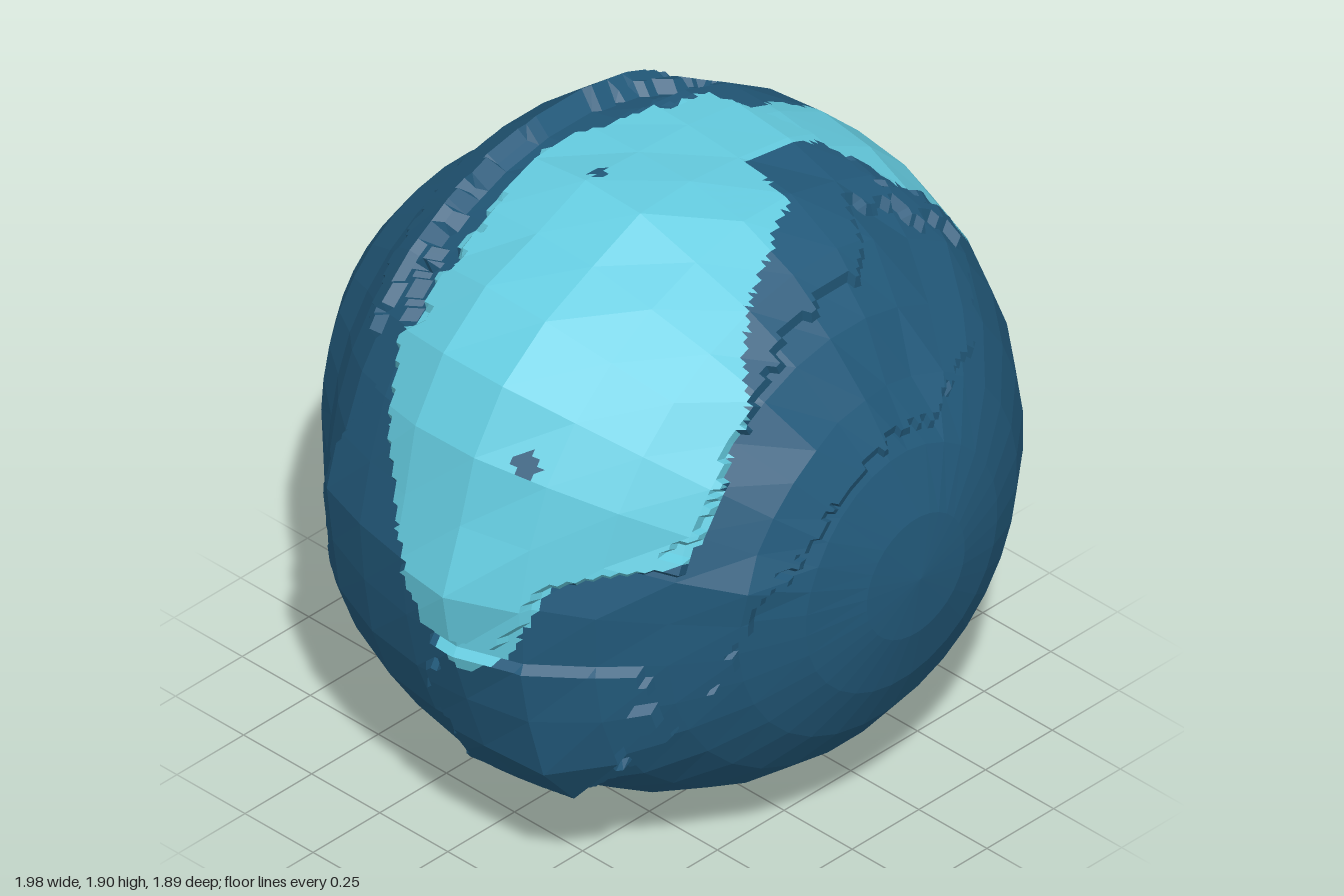
import * as THREE from 'three';

const R = 0.945, CX = 0.058, CY = 0.937; // ball radius and centre
const COLS = 32, ROWS = 16, FINE = 9;    // large facets, and cells inside each facet
const RAD = Math.PI / 180;

const hash = (a, b = 0) => {
  const s = Math.sin(a * 127.1 + b * 311.7) * 43758.5453;
  return s - Math.floor(s);
};

// Regions around the z axis: [angle, back edge z, front edge z]
const CYAN_BAND = [
  [-94, 0.15, 0.3], [-92, 0.05, 0.4], [-87, -0.04, 0.5], [-71, -0.15, 0.6], [-66, -0.19, 0.56], [-62, -0.21, 0.42],
  [-52, -0.23, 0.37], [-42, -0.21, 0.36], [-31, -0.14, 0.36], [-29, -0.02, 0.36], [-25, 0.03, 0.36],
  [-15, 0.04, 0.36], [-8, 0.02, 0.36], [-4, -0.02, 0.37], [0, -0.12, 0.38], [5, -0.1, 0.39],
  [17, -0.07, 0.39], [28, -0.07, 0.37], [33, -0.02, 0.37], [50, -0.02, 0.38], [58, -0.06, 0.37],
  [63, -0.04, 0.22], [75, -0.08, 0.2], [84, -0.13, 0.21], [86, -0.15, 0.38], [93, -0.19, 0.43],
  [100, -0.21, 0.48], [108, -0.2, 0.53], [123, -0.2, 0.66], [143, -0.19, 0.7], [157, -0.12, 0.69],
  [163, -0.05, 0.6], [170, 0.0, 0.42], [185, 0.1, 0.33], [189, 0.2, 0.22]];
const CYAN_HOOK = [[-15, -0.2, -0.17], [-10, -0.2, -0.13], [-4, -0.16, -0.03], [0, -0.13, 0.0]];
const LOWER_PLATE = [
  [42, 0.5, 0.52], [46, 0.45, 0.73], [64, 0.38, 0.84], [70, -0.1, 0.845], [85, -0.17, 0.85], [106, -0.2, 0.855],
  [137, -0.14, 0.865], [161, -0.34, 0.83], [180, -0.46, 0.79], [194, -0.46, 0.76], [207, -0.42, 0.65],
  [218, -0.37, 0.46], [228, -0.35, 0.1]];
const UPPER_PLATE = [
  [46, 0.4, 0.5], [57, 0.36, 0.49], [66, 0.2, 0.42], [74, -0.08, 0.42], [79, -0.1, 0.58], [103, -0.2, 0.61],
  [122, -0.2, 0.66], [142, -0.19, 0.69], [161, -0.08, 0.65], [171, 0.0, 0.4], [184, 0.1, 0.3]];
const SIDE_PLATE = [
  [186, 0.1, 0.6], [200, 0.06, 0.62], [212, 0.05, 0.5], [227, 0.05, 0.25]];
const BACK_LEDGE = [[58, -0.5, -0.42], [75, -0.53, -0.36], [110, -0.54, -0.38], [135, -0.48, -0.36], [145, -0.4, -0.36]];
const TOP_GROOVE = [[58, -0.3, -0.22], [75, -0.36, -0.2], [100, -0.38, -0.22], [125, -0.36, -0.21], [140, -0.28, -0.2]];

// Plate, height, raggedness of its edge
const LAYERS = [
  [LOWER_PLATE, 0.02, 0.02], [UPPER_PLATE, 0.028, 0.04], [SIDE_PLATE, 0.025, 0.05],
  [BACK_LEDGE, 0.03, 0.015], [TOP_GROOVE, -0.04, 0.03]];

// Broad swellings and hollows: [angle, z, amount, width]
const BUMPS = [
  [142, 0.1, 0.095, 0.27], [175, 0.2, 0.065, 0.17], [108, 0.1, 0.03, 0.2], [90, 0.0, -0.055, 0.2],
  [70, 0.1, -0.045, 0.2], [207, 0.4, 0.065, 0.23], [155, 0.8, 0.025, 0.2], [78, 0.77, -0.04, 0.2],
  // flattened sweep behind the crest
  ...[62, 87, 112, 137, 162, 185].map(a => [a, -0.64, -0.048, 0.25])];

// Dark pits inside the band: [angle, z, size]
const PITS = [[104, 0, 0.022], [150, 0.3, 0.034], [27, 0.3, 0.012]];

function inside(table, phi, z, jag) {
  if (phi < table[0][0] || phi > table[table.length - 1][0]) return false;
  let i = 1;
  while (table[i][0] < phi) i++;
  const a = table[i - 1], b = table[i], t = (phi - a[0]) / (b[0] - a[0]);
  const lo = a[1] + (b[1] - a[1]) * t, hi = a[2] + (b[2] - a[2]) * t;
  const step = Math.floor(phi / 3.5);
  return z > lo + jag * (hash(step, 1) - 0.5) && z < hi + jag * (hash(step, 2) - 0.5);
}

const angleOf = p => {
  const a = Math.atan2(p.y, p.x) / RAD;
  return a < -100 ? a + 360 : a;
};

const direction = (phi, z) => {
  const r = Math.sqrt(Math.max(0, R * R - z * z));
  return new THREE.Vector3(r * Math.cos(phi * RAD), r * Math.sin(phi * RAD), z);
};

// Corner of a large facet, with swellings and rough rock
function corner(row, col) {
  const theta = Math.PI * row / ROWS, c = (col + COLS) % COLS, phi = 2 * Math.PI * (c + 0.5) / COLS;
  const p = new THREE.Vector3(Math.sin(theta) * Math.cos(phi), Math.sin(theta) * Math.sin(phi), Math.cos(theta));
  p.multiplyScalar(R);
  let rise = 0;
  for (const [a, z, amount, width] of BUMPS) {
    rise += amount * Math.exp(-p.distanceToSquared(direction(a, z)) / (width * width));
  }
  if (inside(LOWER_PLATE, angleOf(p), p.z, 0)) rise += (hash(row, c) - 0.5) * 0.025;
  return p.multiplyScalar(1 + rise / R);
}

// Add the stepped plates to a point on a facet
function stepped(p) {
  const phi = angleOf(p), z = p.z * R / p.length();
  let h = 0;
  for (const [table, height, jag] of LAYERS) if (inside(table, phi, z, jag)) h += height;
  return p.clone().multiplyScalar(1 + h / R);
}

function isCyan(p) {
  const d = p.clone().setLength(R), phi = angleOf(d);
  if (PITS.some(([a, z, size]) => d.distanceTo(direction(a, z)) < size)) return false;
  return inside(CYAN_BAND, phi, d.z, 0.01) || inside(CYAN_HOOK, phi, d.z, 0);
}

export function createModel() {
  const dark = [], cyan = [];
  const addTriangle = (a, b, c) => {
    const mid = a.clone().add(b).add(c).divideScalar(3);
    const list = isCyan(mid) ? cyan : dark;
    for (const p of [a, b, c]) list.push(p.x + CX, p.y + CY, p.z);
  };

  for (let row = 0; row < ROWS; row++) {
    for (let col = 0; col < COLS; col++) {
      const A = corner(row, col), B = corner(row + 1, col);
      const C = corner(row + 1, col + 1), D = corner(row, col + 1);
      // each facet is two flat halves, divided into small cells
      const grid = [];
      for (let i = 0; i <= FINE; i++) {
        grid.push([]);
        for (let j = 0; j <= FINE; j++) {
          const u = i / FINE, v = j / FINE, p = A.clone();
          if (u >= v) p.addScaledVector(B.clone().sub(A), u).addScaledVector(C.clone().sub(B), v);
          else p.addScaledVector(D.clone().sub(A), v).addScaledVector(C.clone().sub(D), u);
          grid[i].push(stepped(p));
        }
      }
      for (let i = 0; i < FINE; i++) {
        for (let j = 0; j < FINE; j++) {
          const a = grid[i][j], b = grid[i + 1][j], c = grid[i + 1][j + 1], d = grid[i][j + 1];
          if (b.distanceTo(c) > 1e-6) addTriangle(a, b, c);
          if (a.distanceTo(d) > 1e-6) addTriangle(a, c, d);
        }
      }
    }
  }

  const group = new THREE.Group();
  group.name = 'rockyBall';
  const addMesh = (name, positions, materialName, color) => {
    const geometry = new THREE.BufferGeometry();
    geometry.setAttribute('position', new THREE.Float32BufferAttribute(positions, 3));
    geometry.computeVertexNormals();
    const material = new THREE.MeshStandardMaterial({ color });
    material.name = materialName;
    const mesh = new THREE.Mesh(geometry, material);
    mesh.name = name;
    group.add(mesh);
  };
  addMesh('rockShell', dark, 'deepBlue', 0x22597a);
  addMesh('paleBand', cyan, 'paleCyan', 0x64cbdf);
  return group;
}
